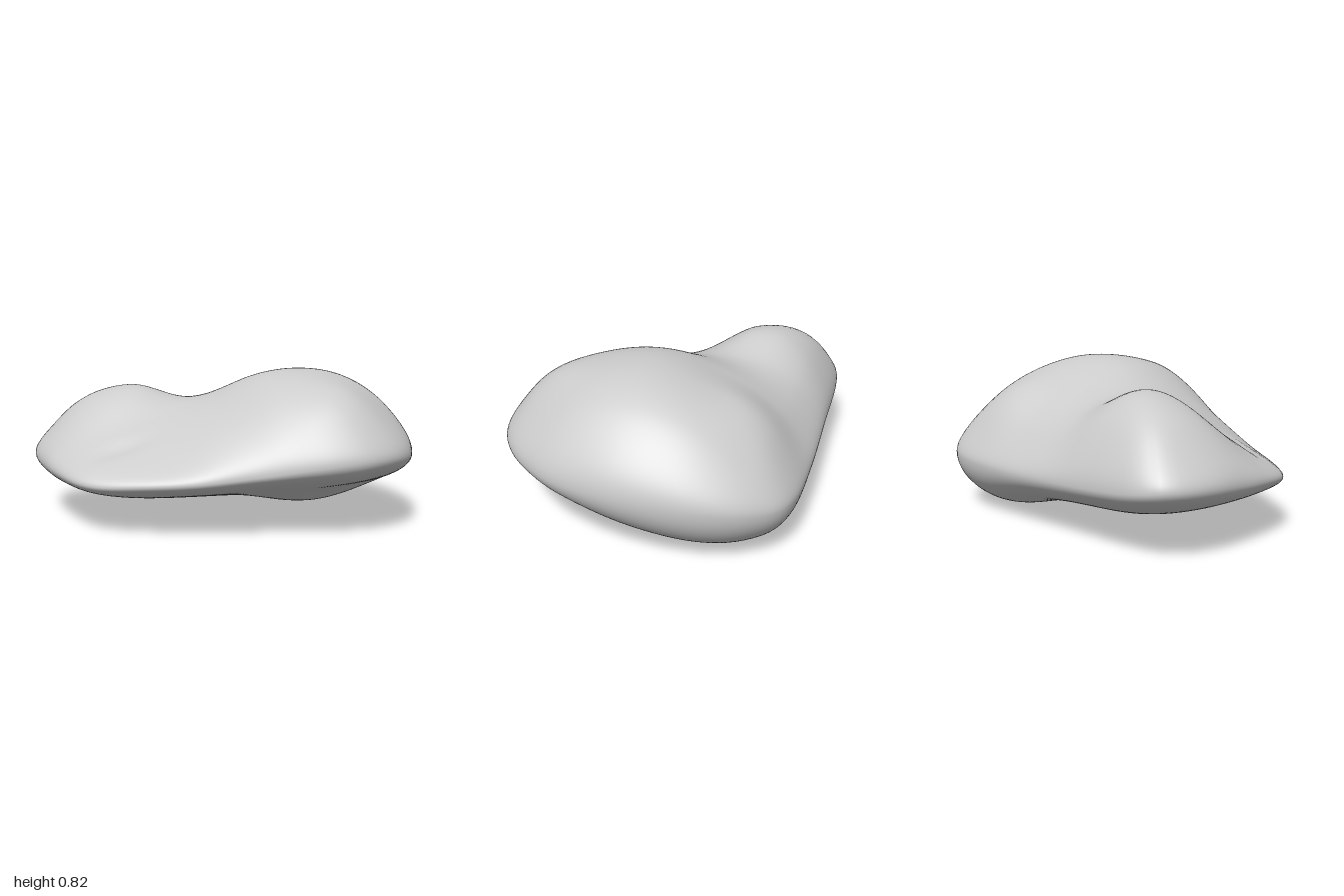
import * as THREE from 'three';

// Widest rim of the stone, walked counter-clockwise seen from above
const RIM = [
  [-0.70, 0.34, -0.76], [-0.83, 0.355, -0.74], [-0.92, 0.365, -0.69], [-0.97, 0.365, -0.60],
  [-1.00, 0.36, -0.43], [-0.98, 0.34, -0.20], [-0.95, 0.325, -0.05], [-0.87, 0.30, 0.18],
  [-0.78, 0.29, 0.28], [-0.60, 0.30, 0.40], [-0.35, 0.32, 0.53], [-0.10, 0.35, 0.61],
  [0.15, 0.39, 0.71], [0.32, 0.415, 0.765], [0.48, 0.43, 0.78], [0.63, 0.43, 0.735],
  [0.76, 0.42, 0.64], [0.86, 0.41, 0.51], [0.94, 0.405, 0.35], [1.00, 0.40, 0.02],
  [0.98, 0.38, -0.30], [0.92, 0.36, -0.50], [0.84, 0.34, -0.63], [0.73, 0.32, -0.73],
  [0.58, 0.31, -0.775], [0.20, 0.30, -0.785], [-0.30, 0.315, -0.77],
];

// Heights of the upper side: rows run along z from back to front, columns along x
const TOP = [
  [0.42, 0.48, 0.47, 0.42, 0.39, 0.37, 0.39, 0.38],
  [0.51, 0.70, 0.71, 0.61, 0.60, 0.67, 0.61, 0.50],
  [0.53, 0.69, 0.75, 0.675, 0.725, 0.775, 0.76, 0.64],
  [0.44, 0.51, 0.58, 0.67, 0.81, 0.85, 0.82, 0.70],
  [0.36, 0.40, 0.47, 0.61, 0.78, 0.83, 0.79, 0.66],
  [0.32, 0.34, 0.38, 0.51, 0.67, 0.765, 0.66, 0.55],
  [0.30, 0.32, 0.33, 0.40, 0.47, 0.53, 0.50, 0.46],
];

// Heights of the underside, on a coarser grid
const BOTTOM = [
  [0.24, 0.20, 0.14, 0.04, 0.08],
  [0.19, 0.15, 0.12, 0.005, 0.03],
  [0.19, 0.165, 0.145, 0.065, 0.10],
  [0.22, 0.22, 0.23, 0.225, 0.22],
  [0.24, 0.25, 0.28, 0.27, 0.30],
];

// Catmull-Rom value at position t (0..1) along evenly spaced samples
function spline(values, t) {
  const last = values.length - 1;
  const u = THREE.MathUtils.clamp(t, 0, 1) * last;
  const i = Math.min(Math.floor(u), last - 1);
  const f = u - i;
  const [a, b, c, d] = [-1, 0, 1, 2].map((k) => values[THREE.MathUtils.clamp(i + k, 0, last)]);
  return b + 0.5 * f * (c - a + f * (2 * a - 5 * b + 4 * c - d + f * (3 * (b - c) + d - a)));
}

// Smooth height from a grid that spans x = -1.05..1.05 and z = -0.9..0.9
const heightAt = (grid, x, z) =>
  spline(grid.map((row) => spline(row, (x + 1.05) / 2.1)), (z + 0.9) / 1.8);

// Small crease at the foot of the lower hump
const crease = (x, z) =>
  0.025 * Math.exp(-(((x + 0.64) / 0.14) ** 2) - ((z - 0.11 - 0.1 * (x + 0.62)) / 0.05) ** 2);

function stoneGeometry(around = 128, rings = 112) {
  const curve = new THREE.CatmullRomCurve3(
    RIM.map((p) => new THREE.Vector3(...p)), true, 'centripetal');
  const rim = curve.getSpacedPoints(around).slice(0, around);
  const centre = new THREE.Vector3(0.05, 0, -0.05);
  const positions = [];
  const indices = [];

  // Rings go from the crown, out over the rim, and back in to the middle of the base
  for (let j = 0; j <= rings; j++) {
    const phi = (j / rings) * Math.PI;
    const r = Math.sin(phi);
    const upper = j <= rings / 2;
    const swell = Math.sqrt(Math.max(0, 1 - r ** 4));
    for (let i = 0; i < around; i++) {
      const p = rim[i];
      const x = THREE.MathUtils.lerp(centre.x, p.x, r);
      const z = THREE.MathUtils.lerp(centre.z, p.z, r);
      const target = upper ? heightAt(TOP, x, z) - crease(x, z) : heightAt(BOTTOM, x, z);
      positions.push(x, THREE.MathUtils.lerp(p.y, target, swell), z);
      if (j < rings) {
        const n = (i + 1) % around;
        const a = j * around + i, b = a + around;
        const d = j * around + n, c = d + around;
        if (j < rings - 1) indices.push(a, b, c);
        else indices.push(a, b, d);
        if (j > 0 && j < rings - 1) indices.push(a, c, d);
      }
    }
  }

  const geometry = new THREE.BufferGeometry();
  geometry.setAttribute('position', new THREE.Float32BufferAttribute(positions, 3));
  geometry.setIndex(indices);

  // Stand on the ground, centred
  geometry.computeBoundingBox();
  const { min, max } = geometry.boundingBox;
  geometry.translate(-(min.x + max.x) / 2, -min.y, -(min.z + max.z) / 2);
  geometry.computeVertexNormals();
  return geometry;
}

export function createModel() {
  const group = new THREE.Group();
  group.name = 'rock';
  const stone = new THREE.Mesh(
    stoneGeometry(), new THREE.MeshStandardMaterial({ color: 0xcccccc }));
  stone.name = 'stone';
  group.add(stone);
  return group;
}
